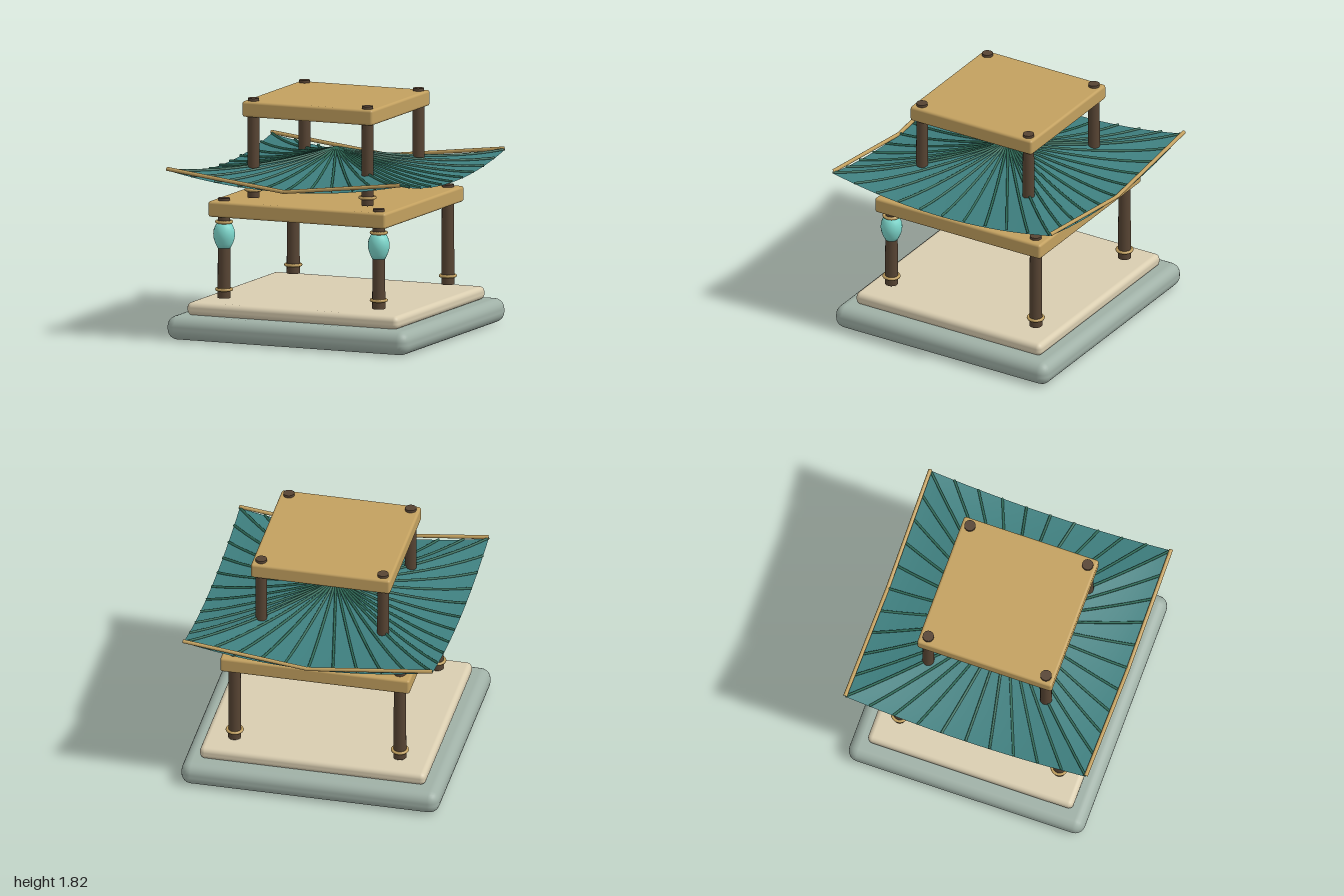
import * as THREE from 'three';
import { RoundedBoxGeometry } from 'three/addons/geometries/RoundedBoxGeometry.js';

const paint = (name, color) => {
  const m = new THREE.MeshStandardMaterial({ color });
  m.name = name;
  return m;
};

const HALF = 0.965; // half width of the roof

// Height of the swept roof: r runs centre to eave, s runs across one side (-1..1)
const roofY = (r, s) => 1.2 + 0.2 * Math.pow(1 - r, 1.5) + 0.105 * s * s * r * r;
const roofPoint = (r, s) => new THREE.Vector3(s * r * HALF, roofY(r, s), r * HALF);

export function createModel() {
  const model = new THREE.Group();
  model.name = 'pavilion';

  const stone = paint('grey green stone', 0x9fb0a6);
  const cream = paint('cream stone', 0xd9cdb0);
  const wood = paint('dark wood', 0x574433);
  const gold = paint('gold', 0xc2a05f);
  const tile = paint('teal roof', 0x3e7f7f);
  tile.side = THREE.DoubleSide;
  const ribGreen = paint('green rib', 0x2f6b58);
  const jade = paint('turquoise lantern', 0x7dd8cd);

  const add = (name, geometry, material, x = 0, y = 0, z = 0, parent = model) => {
    const mesh = new THREE.Mesh(geometry, material);
    mesh.name = name;
    mesh.position.set(x, y, z);
    parent.add(mesh);
    return mesh;
  };
  const slab = (name, material, w, d, y0, y1, radius) =>
    add(name, new RoundedBoxGeometry(w, y1 - y0, d, 3, radius), material, 0, (y0 + y1) / 2, 0);

  // Stepped base and the two platforms
  slab('base', stone, 2, 1.89, 0, 0.183, 0.08);
  slab('floor', cream, 1.75, 1.645, 0.18, 0.28, 0.04);
  slab('lowerPlatform', gold, 1.468, 1.468, 0.93, 1.05, 0.02);
  slab('upperPlatform', gold, 1.08, 1.08, 1.68, 1.8, 0.02);

  // Posts with gold collars, lanterns on the two lower front posts
  const collar = new THREE.TorusGeometry(0.057, 0.012, 8, 24).rotateX(Math.PI / 2);
  const lowerPost = new THREE.CylinderGeometry(0.045, 0.05, 0.765, 16);
  const upperPost = new THREE.CylinderGeometry(0.043, 0.047, 0.76, 16);
  const lantern = new THREE.LatheGeometry(
    [[0, 0], [0.05, 0], [0.067, 0.035], [0.079, 0.07], [0.083, 0.105],
      [0.079, 0.14], [0.067, 0.17], [0.05, 0.195], [0, 0.195]]
      .map(([x, y]) => new THREE.Vector2(x, y)), 20);
  for (const sx of [-1, 1]) {
    for (const sz of [-1, 1]) {
      const x = sx * 0.64, z = sz * 0.64, ux = sx * 0.472, uz = sz * 0.472;
      add('lowerPost', lowerPost, wood, x, 0.687, z);
      add('lowerCollar', collar, gold, x, 0.37, z);
      add('upperPost', upperPost, wood, ux, 1.44, uz);
      add('upperCollar', collar, gold, ux, 1.12, uz);
      if (sz > 0) {
        add('lantern', lantern, jade, x, 0.687, z);
        add('lanternCollar', collar, gold, x, 0.887, z);
      }
    }
  }

  // One curved roof side, repeated around the centre with its radiating ribs
  const panel = new THREE.PlaneGeometry(2, 1, 24, 14);
  const pos = panel.attributes.position;
  for (let i = 0; i < pos.count; i++) {
    const p = roofPoint(0.5 - pos.getY(i), pos.getX(i));
    pos.setXYZ(i, p.x, p.y, p.z);
  }
  panel.computeVertexNormals();

  const ribs = [];
  for (let k = 0; k < 10; k++) {
    const s = -1 + k * 0.2;
    const points = [];
    for (let j = 0; j <= 8; j++) {
      const p = roofPoint(j / 8, s);
      p.y += 0.005;
      points.push(p);
    }
    ribs.push(new THREE.TubeGeometry(new THREE.CatmullRomCurve3(points), 16, 0.01, 6));
  }

  for (let q = 0; q < 4; q++) {
    const side = new THREE.Group();
    side.name = 'roofSide';
    side.rotation.y = q * Math.PI / 2;
    model.add(side);
    add('roofPanel', panel, tile, 0, 0, 0, side);
    for (const rib of ribs) add('roofRib', rib, ribGreen, 0, 0, 0, side);
  }

  // Straight gold rods meeting in a shallow V along the front and back eaves
  for (const sz of [-1, 1]) {
    for (const sx of [-1, 1]) {
      const a = new THREE.Vector3(0, 1.203, sz * 0.965);
      const b = new THREE.Vector3(sx * 0.968, 1.317, sz * 0.965);
      add('eaveRod', new THREE.TubeGeometry(new THREE.LineCurve3(a, b), 1, 0.015, 10), gold);
    }
  }

  return model;
}
